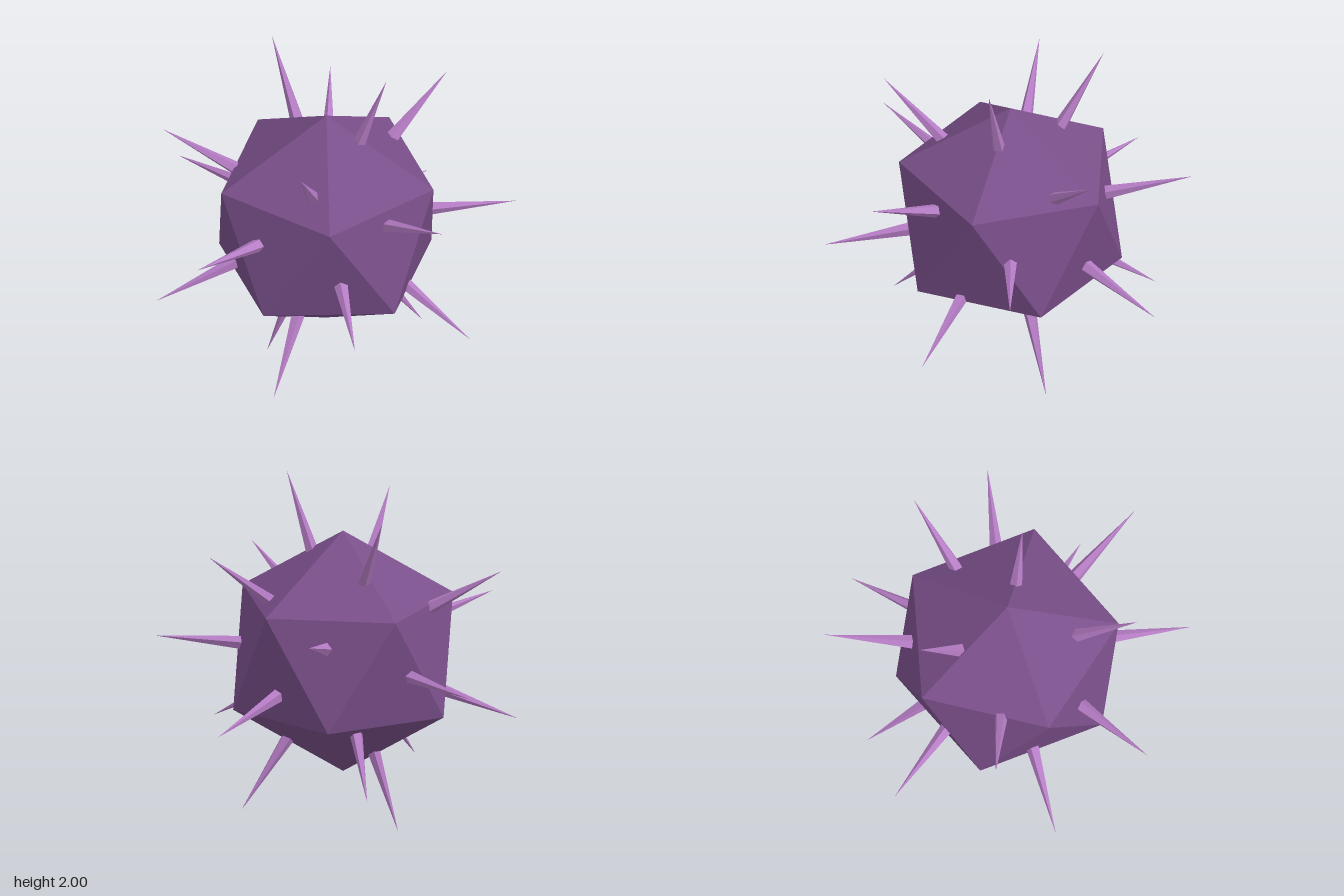
import * as THREE from 'three';

const CORE_RADIUS = 0.695;
const TIP_RADIUS = 1.059; // centre to spike tip
const SPIKE_LENGTH = 0.53;
const SPIKE_COUNT = 18;
const GOLDEN_ANGLE = Math.PI * (3 - Math.sqrt(5));

export function createModel() {
  const model = new THREE.Group();
  model.name = 'spikyBall';
  const bodyMaterial = new THREE.MeshStandardMaterial({ color: 0x7a4f8a, flatShading: true });
  const spikeMaterial = new THREE.MeshStandardMaterial({ color: 0xb57cc4, flatShading: true });

  // Everything radiates from the centre of the ball
  const ball = new THREE.Group();
  ball.name = 'ball';
  ball.position.set(-0.008, 1, 0.018);
  model.add(ball);

  // Faceted core, turned so that one corner points straight up
  const coreGeometry = new THREE.IcosahedronGeometry(CORE_RADIUS, 0);
  coreGeometry.rotateZ(-Math.atan(2 / (1 + Math.sqrt(5))));
  const core = new THREE.Mesh(coreGeometry, bodyMaterial);
  core.name = 'core';
  ball.add(core);

  // Spikes spread evenly along a golden-angle spiral, bases sunk in the core
  const spikeGeometry = new THREE.ConeGeometry(0.042, SPIKE_LENGTH, 5);
  spikeGeometry.translate(0, TIP_RADIUS - SPIKE_LENGTH / 2, 0);
  const up = new THREE.Vector3(0, 1, 0);
  for (let i = 0; i < SPIKE_COUNT; i++) {
    const y = 1 - (2 * i + 1) / SPIKE_COUNT;
    const ring = Math.sqrt(1 - y * y);
    const angle = i * GOLDEN_ANGLE;
    const direction = new THREE.Vector3(ring * Math.cos(angle), y, -ring * Math.sin(angle));
    const spike = new THREE.Mesh(spikeGeometry, spikeMaterial);
    spike.name = `spike${i + 1}`;
    spike.quaternion.setFromUnitVectors(up, direction);
    ball.add(spike);
  }
  return model;
}
